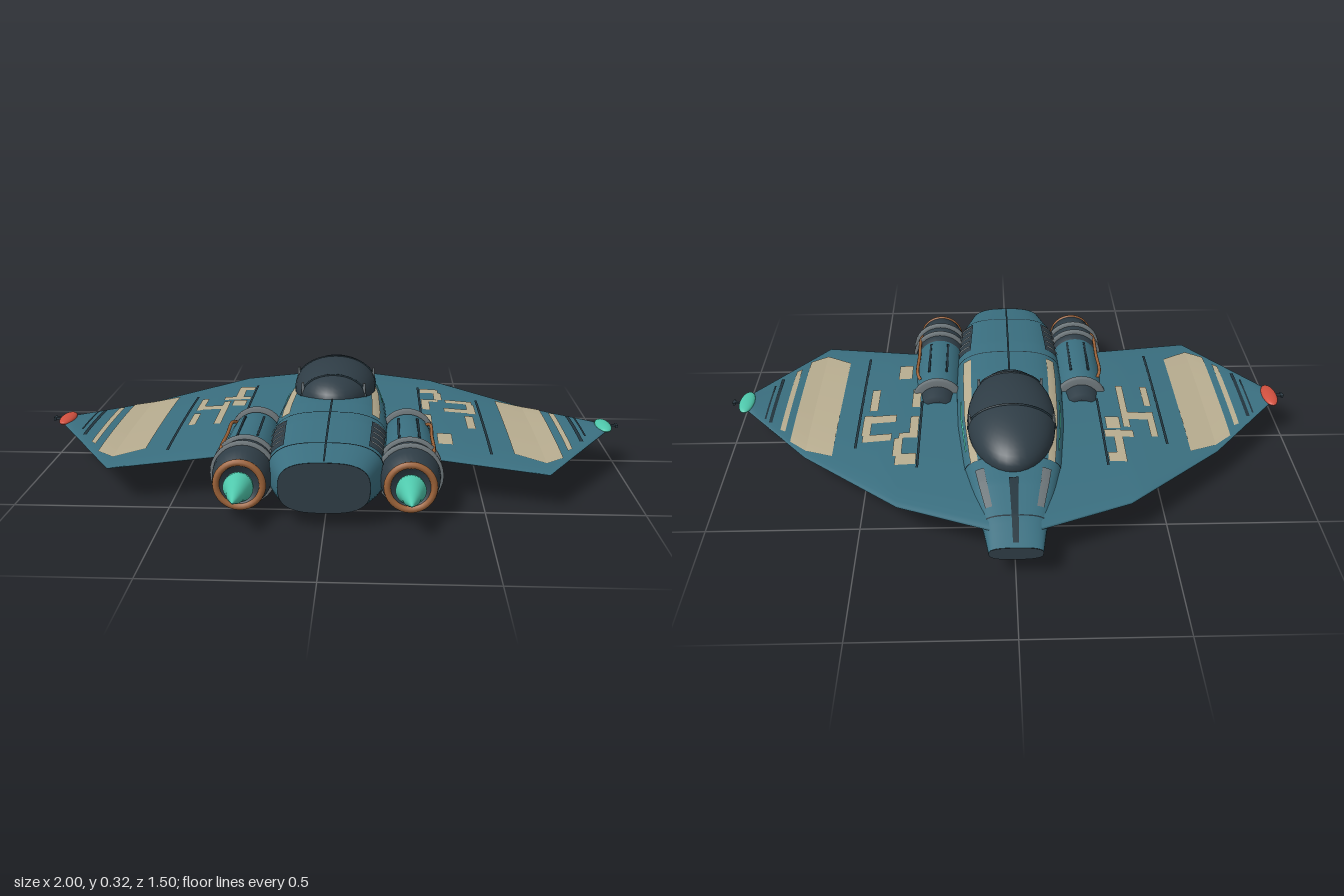
import * as THREE from 'three';
import { ParametricGeometry } from 'three/addons/geometries/ParametricGeometry.js';

const material = (name, color, side = THREE.FrontSide) =>
  Object.assign(new THREE.MeshStandardMaterial({ color, side }), { name });
const teal = material('teal hull', 0x3a6f80);
const tan = material('tan paint', 0xb8ad90);
const dark = material('dark slate', 0x2f3d46, THREE.DoubleSide);
const line = material('panel line', 0x22343d);
const grey = material('grey metal', 0x6e777b);
const copper = material('copper', 0x9c6238);
const mint = material('mint glow', 0x4fc8ac);
const red = material('red light', 0xd0503f);

// Linear interpolation in rows sorted by their first value
function sample(rows, t) {
  let i = 1;
  while (i < rows.length - 1 && t > rows[i][0]) i++;
  const a = rows[i - 1], b = rows[i], k = (t - a[0]) / (b[0] - a[0]);
  return a.map((v, j) => v + (b[j] - v) * k);
}

// Hull stations: z, half width, bottom, top
const HULL = [
  [-0.75, 0.083, 0.08, 0.125], [-0.64, 0.1, 0.068, 0.157], [-0.5, 0.137, 0.05, 0.19],
  [-0.38, 0.163, 0.036, 0.208], [-0.15, 0.187, 0.015, 0.225], [0.1, 0.195, 0.003, 0.238],
  [0.3, 0.193, 0, 0.238], [0.5, 0.182, 0.014, 0.226], [0.635, 0.14, 0.045, 0.207],
];
const soft = (c) => Math.sign(c) * Math.abs(c) ** 0.7;
function hullPoint(a, z, lift, out) {
  const [, w, lo, hi] = sample(HULL, z);
  return out.set((w + lift) * soft(Math.cos(a)),
    (lo + hi) / 2 + ((hi - lo) / 2 + lift) * soft(Math.sin(a)), z);
}

// Wing stations: x, leading z, trailing z, middle y, half thickness
const WING = [
  [0.08, -0.68, 0.38, 0.135, 0.025], [0.37, -0.56, 0.4, 0.134, 0.021],
  [0.7, -0.265, 0.475, 0.118, 0.014], [0.965, 0.025, 0.075, 0.143, 0.006],
];

export function createModel() {
  const model = new THREE.Group();
  model.name = 'spacecraft';
  function add(parent, name, geometry, mat, x = 0, y = 0, z = 0) {
    const mesh = new THREE.Mesh(geometry, mat);
    mesh.name = name;
    mesh.position.set(x, y, z);
    parent.add(mesh);
    return mesh;
  }

  // Hull with flat end caps
  add(model, 'hull', new ParametricGeometry((u, v, p) =>
    hullPoint(u * Math.PI * 2, -0.75 + v * 1.385, 0, p), 48, 48), teal);
  for (const [name, z, out] of [['noseCap', -0.75, -0.001], ['sternCap', 0.635, 0.001]]) {
    const ring = [];
    for (let i = 0; i < 40; i++) {
      const p = hullPoint(i / 40 * Math.PI * 2, z, 0, new THREE.Vector3());
      ring.push(new THREE.Vector2(p.x, p.y));
    }
    add(model, name, new THREE.ShapeGeometry(new THREE.Shape(ring)), dark, 0, 0, z + out);
  }

  // Painted hull details, by angle and z
  function hullPaint(name, mat, a0, a1, z0, z1, lift = 0.003) {
    add(model, name, new ParametricGeometry((u, v, p) =>
      hullPoint(a0 + (a1 - a0) * u, z0 + (z1 - z0) * v, lift, p),
    a1 - a0 > 1 ? 48 : 6, z1 - z0 > 0.05 ? 16 : 1), mat);
  }
  function hullPair(name, mat, a0, a1, z0, z1, lift) {
    hullPaint(name, mat, a0, a1, z0, z1, lift);
    hullPaint(name, mat, Math.PI - a1, Math.PI - a0, z0, z1, lift);
  }
  const top = Math.PI / 2;
  hullPaint('noseSpine', line, top - 0.04, top + 0.04, -0.735, -0.49);
  hullPaint('centreSeam', line, top - 0.003, top + 0.003, 0.07, 0.63);
  for (const z of [-0.64, -0.4, 0.225, 0.505]) hullPaint('hullSeam', line, 0, Math.PI * 2, z, z + 0.005, 0.002);
  hullPair('nosePanel', grey, 0.75, 1.05, -0.6, -0.44);
  hullPair('shoulderStripe', tan, 0.66, 0.92, -0.4, 0.2);
  hullPair('glowStrip', mint, 0.5, 0.57, -0.33, -0.04);
  hullPair('ventPanel', dark, 0.4, 0.9, 0.27, 0.49);
  for (let i = 0; i < 5; i++) hullPair('ventSlat', grey, 0.42, 0.88, 0.285 + i * 0.042, 0.3 + i * 0.042, 0.008);

  // Canopy and its frames
  const canopy = new THREE.Group();
  canopy.name = 'canopy';
  canopy.position.set(0, 0.214, -0.195);
  canopy.rotation.x = -0.04;
  model.add(canopy);
  add(canopy, 'canopyGlass', new THREE.SphereGeometry(1, 40, 24), dark).scale.set(0.15, 0.102, 0.273);
  for (const z of [-0.05, 0.175]) {
    const k = Math.sqrt(1 - (z / 0.273) ** 2), arc = [];
    for (let i = 0; i <= 12; i++) {
      const a = i / 12 * Math.PI;
      arc.push(new THREE.Vector3(0.15 * k * Math.cos(a), 0.102 * k * Math.sin(a), z));
    }
    add(canopy, 'canopyFrame', new THREE.TubeGeometry(new THREE.CatmullRomCurve3(arc), 32, 0.004, 6), line);
    for (const s of [-1, 1]) add(canopy, 'frameLatch', new THREE.BoxGeometry(0.008, 0.045, 0.01), grey, s * 0.143 * k, 0.035 * k, z);
  }

  // Camouflage blocks: x0, x1, z0, z1
  const camo = {
    '1': [[0.32, 0.39, -0.36, -0.3], [0.37, 0.4, -0.31, -0.21], [0.32, 0.385, -0.21, -0.18],
      [0.32, 0.35, -0.18, -0.08], [0.41, 0.51, -0.22, -0.18], [0.485, 0.515, -0.18, -0.06],
      [0.4, 0.49, -0.11, -0.065], [0.32, 0.35, -0.02, 0.1], [0.47, 0.5, -0.03, 0.11], [0.36, 0.41, 0.18, 0.28]],
    '-1': [[0.32, 0.38, -0.36, -0.31], [0.35, 0.38, -0.31, -0.22], [0.32, 0.42, -0.22, -0.18],
      [0.33, 0.38, -0.17, -0.1], [0.48, 0.505, -0.21, -0.06], [0.4, 0.48, -0.11, -0.065],
      [0.39, 0.415, -0.16, 0.11], [0.48, 0.505, -0.02, 0.11]],
  };

  for (const side of [1, -1]) {
    const flip = (u) => (side > 0 ? u : 1 - u);
    const wing = new THREE.Group();
    wing.name = side > 0 ? 'leftWing' : 'rightWing';
    model.add(wing);

    // Thin lens-section wing
    add(wing, 'wingPanel', new ParametricGeometry((u, v, p) => {
      const f = Math.max(0, Math.min(2, Math.floor(v * 3))), k = v * 3 - f;
      const [x, z0, z1, y, t] = sample(WING, WING[f][0] + (WING[f + 1][0] - WING[f][0]) * k);
      const a = flip(u) * Math.PI * 2;
      p.set(side * x, y + t * Math.sin(a), z0 + (z1 - z0) * (1 - Math.cos(a)) / 2);
    }, 40, 12), teal);

    // Paint that follows the upper surface; inner and outer z ranges
    function wingPaint(name, mat, x0, x1, a0, b0, a1 = a0, b1 = b0) {
      add(wing, name, new ParametricGeometry((u, v, p) => {
        const x = x0 + (x1 - x0) * v, w = flip(u);
        const lo = a0 + (a1 - a0) * v, hi = b0 + (b1 - b0) * v, z = lo + (hi - lo) * w;
        const [, z0, z1, y, t] = sample(WING, x);
        const s = Math.max(0, Math.min(1, (z - z0) / (z1 - z0)));
        p.set(side * x, y + 2 * t * Math.sqrt(s * (1 - s)) + 0.003, z);
      }, b0 - a0 > 0.15 ? 16 : 4, 3), mat);
    }
    wingPaint('wideStripe', tan, 0.605, 0.7, -0.28, 0.33, -0.235, 0.395);
    wingPaint('wideStripe', tan, 0.7, 0.76, -0.235, 0.395, -0.185, 0.35);
    wingPaint('thinStripe', tan, 0.785, 0.803, -0.13, 0.29, -0.12, 0.27);
    wingPaint('wingLine', line, 0.838, 0.85, -0.08, 0.21);
    wingPaint('wingLine', line, 0.862, 0.868, -0.06, 0.16);
    wingPaint('wingLine', line, 0.525, 0.534, -0.25, 0.35);
    wingPaint('wingLine', line, 0.31, 0.318, -0.38, 0.02);
    for (const [x0, x1, z0, z1] of camo[side]) wingPaint('camoBlock', tan, x0, x1, z0, z1);

    // Wing-tip light and antenna
    add(wing, 'tipLight', new THREE.SphereGeometry(1, 20, 14), side > 0 ? mint : red,
      side * 0.948, 0.146, 0.045).scale.set(0.027, 0.013, 0.068);
    add(wing, 'tipAntenna', new THREE.BoxGeometry(0.035, 0.008, 0.01), dark, side * 0.9825, 0.146, 0.045);
    add(wing, 'tipAntennaEnd', new THREE.BoxGeometry(0.007, 0.01, 0.025), dark, side * 0.9935, 0.146, 0.045);

    // Engine, lathed along z
    const engine = new THREE.Group();
    engine.name = side > 0 ? 'leftEngine' : 'rightEngine';
    engine.position.set(side * 0.262, 0.115, 0);
    model.add(engine);
    const lathe = (name, mat, points) => add(engine, name, new THREE.LatheGeometry(
      points.map(([r, z]) => new THREE.Vector2(r, z)), 32).rotateX(Math.PI / 2), mat);
    lathe('intake', dark, [[0, 0.015], [0.04, 0.01], [0.052, 0], [0.064, 0.015], [0.07, 0.08]]);
    lathe('engineBody', teal, [[0.07, 0.09], [0.083, 0.11], [0.088, 0.2], [0.09, 0.34], [0.086, 0.395]]);
    lathe('engineBand', dark, [[0.086, 0.38], [0.094, 0.4], [0.096, 0.485]]);
    lathe('nozzle', dark, [[0.097, 0.485], [0.093, 0.53], [0.078, 0.585], [0.06, 0.59], [0.04, 0.565], [0, 0.565]]);
    for (const [z, r] of [[0.085, 0.085], [0.422, 0.095], [0.484, 0.096]]) {
      lathe('engineRing', grey, [[r - 0.02, z - 0.012], [r + 0.006, z - 0.012], [r + 0.01, z - 0.006],
        [r + 0.01, z + 0.006], [r + 0.006, z + 0.012], [r - 0.02, z + 0.012]]);
    }
    add(engine, 'nozzleRing', new THREE.TorusGeometry(0.072, 0.011, 10, 32), copper, 0, 0, 0.588);
    lathe('exhaustFlame', mint, [[0, 0.57], [0.045, 0.595], [0.047, 0.615], [0.032, 0.655], [0.026, 0.68], [0.012, 0.715], [0, 0.745]]);

    // Copper pipes on the outer side
    for (const tilt of [0.72, -0.72]) {
      const path = [[0.085, 0.14], [0.1, 0.17], [0.1, 0.3], [0.1, 0.44], [0.09, 0.47]].map(([r, z]) =>
        new THREE.Vector3(side * r * Math.cos(tilt), r * Math.sin(tilt), z));
      add(engine, 'fuelPipe', new THREE.TubeGeometry(new THREE.CatmullRomCurve3(path), 24, 0.006, 8), copper);
    }
    // Lengthwise seams
    for (const a of [0, 1.2, 1.95, Math.PI, -1.2, -1.95]) {
      add(engine, 'engineSeam', new THREE.BoxGeometry(0.008, 0.006, 0.2), line,
        0.088 * Math.cos(a), 0.088 * Math.sin(a), 0.26).rotation.z = a + Math.PI / 2;
    }
  }
  return model;
}
